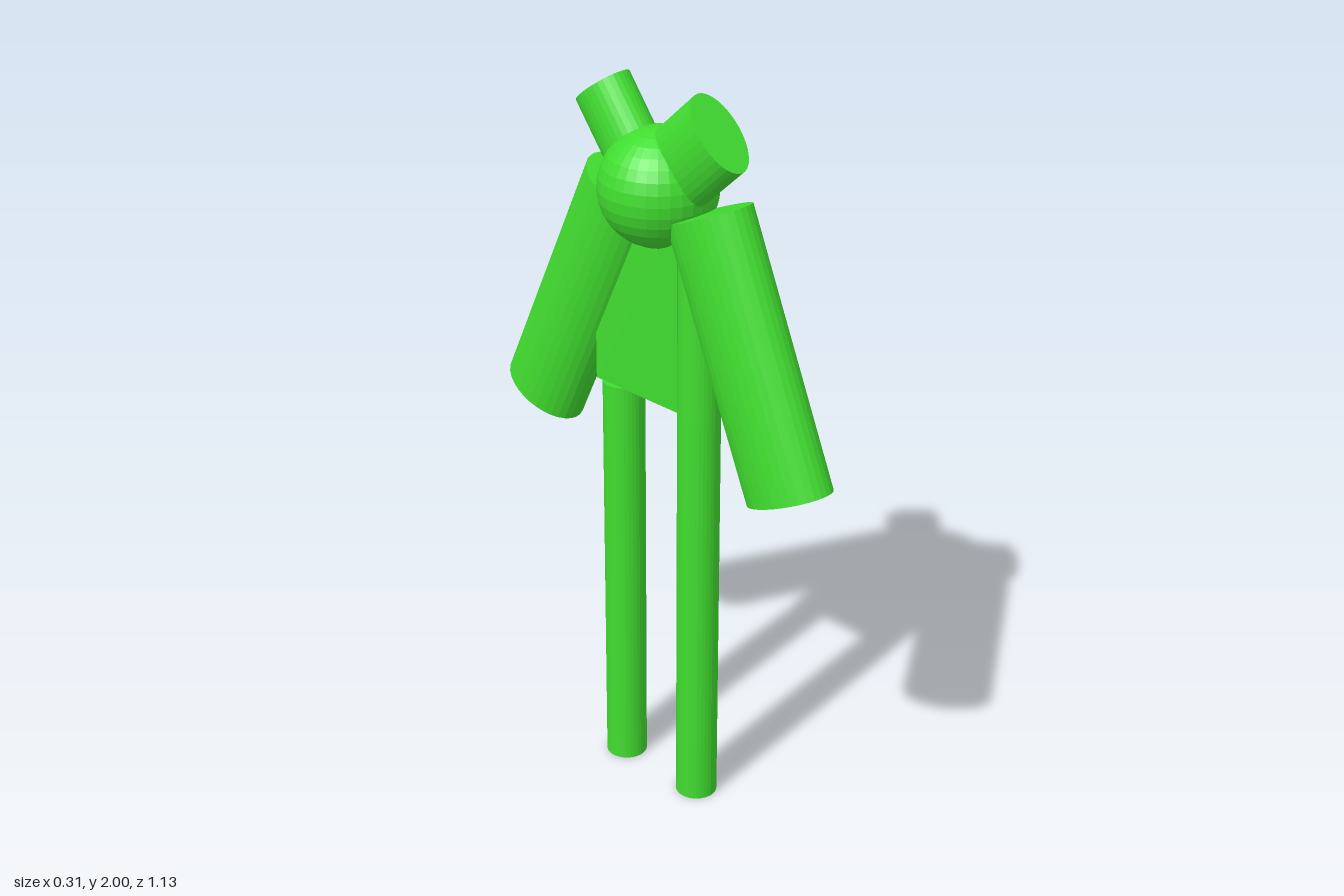
import * as THREE from 'three';

export function createModel() {
  const model = new THREE.Group();
  const green = new THREE.MeshStandardMaterial({ color: 0x41dd30, flatShading: true });
  green.name = 'leaf green';

  const add = (name, geometry, x, y, z) => {
    const mesh = new THREE.Mesh(geometry, green);
    mesh.name = name;
    mesh.position.set(x, y, z);
    model.add(mesh);
    return mesh;
  };

  // Elliptical cylinder in the x = 0 plane, between two [y, z] end centres
  const limb = (name, [y0, z0], [y1, z1], rx, rz) => {
    const dy = y0 - y1, dz = z0 - z1;
    const geometry = new THREE.CylinderGeometry(1, 1, Math.hypot(dy, dz), 32);
    geometry.scale(rx, 1, rz);
    add(name, geometry, 0, (y0 + y1) / 2, (z0 + z1) / 2).rotation.x = Math.atan2(dz, dy);
  };

  // Head and thin torso slab
  add('head', new THREE.SphereGeometry(0.154, 32, 16), 0, 1.729, -0.016);
  add('torso', new THREE.BoxGeometry(0.08, 0.544, 0.296), 0, 1.428, -0.058);

  // Legs; the front one runs up beside the torso
  limb('frontLeg', [1.62, 0.13], [0, 0.13], 0.056, 0.056);
  limb('backLeg', [1.157, -0.145], [0, -0.145], 0.056, 0.056);

  // Broad arms hanging outwards
  limb('frontArm', [1.706, 0.159], [1.032, 0.446], 0.086, 0.132);
  limb('backArm', [1.703, -0.13], [1.034, -0.448], 0.086, 0.126);

  // Ears sunk into the head
  limb('frontEar', [1.918, 0.191], [1.749, 0.007], 0.066, 0.11);
  limb('backEar', [1.942, -0.212], [1.745, -0.06], 0.066, 0.087);

  return model;
}
